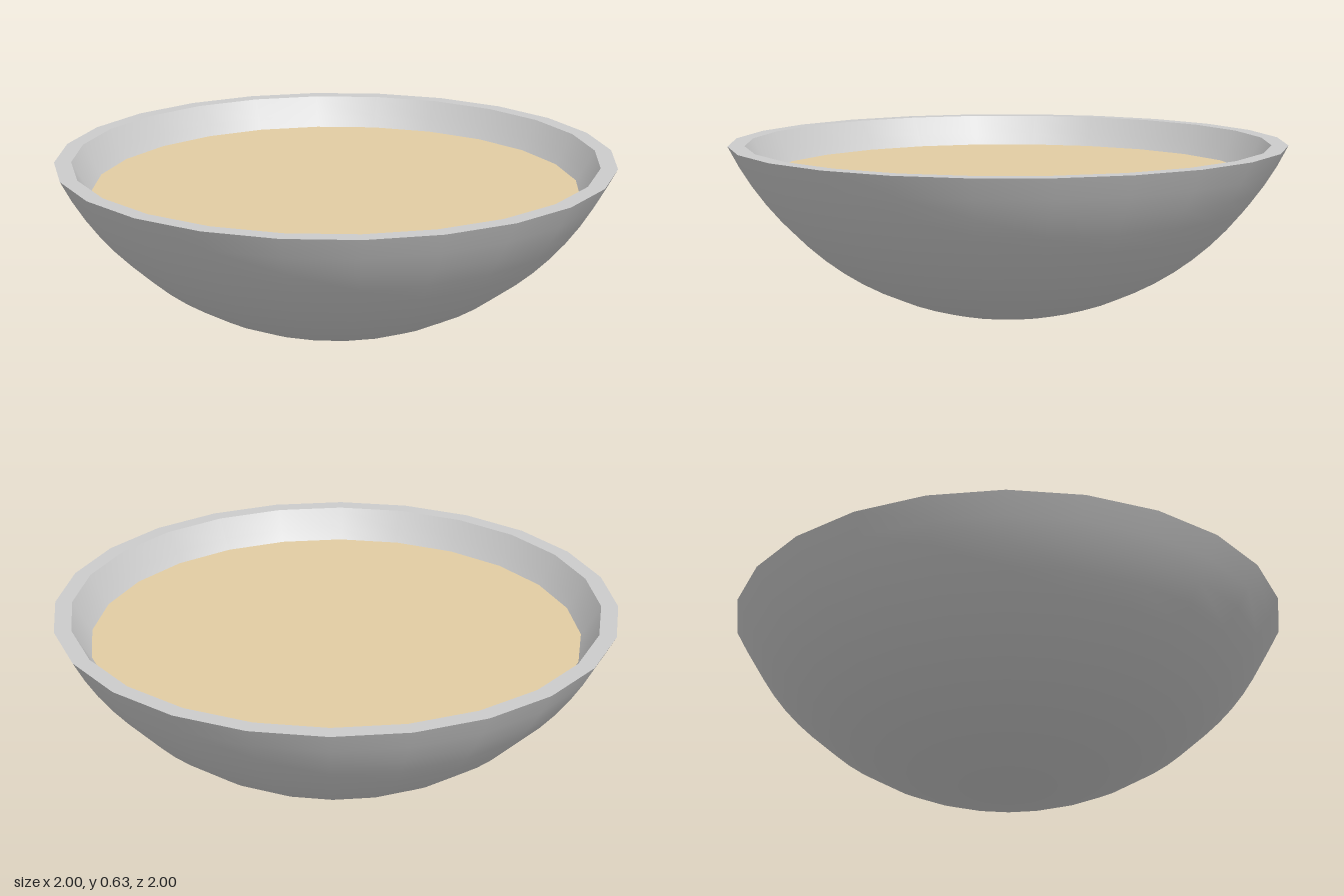
import * as THREE from 'three';

const SIDES = 24;
const HEIGHT = 0.63;
const OUTER = 1.109; // radius of the sphere the outside is cut from
const INNER = 1.055; // radius of the concentric inside sphere
const FILL_Y = 0.52;

// Sphere-cap profile from the bottom pole up to the rim.
function capProfile(radius, rings) {
  const end = Math.acos((OUTER - HEIGHT) / radius);
  return Array.from({ length: rings + 1 }, (_, i) => {
    const a = (end * i) / rings;
    return new THREE.Vector2(radius * Math.sin(a), OUTER - radius * Math.cos(a));
  });
}

export function createModel() {
  const group = new THREE.Group();
  group.name = 'filledBowl';
  const grey = new THREE.MeshStandardMaterial({ color: 0xcccccc });
  const tan = new THREE.MeshStandardMaterial({ color: 0xe2cda3 });

  const add = (name, geometry, material) => {
    const mesh = new THREE.Mesh(geometry, material);
    mesh.name = name;
    group.add(mesh);
    return mesh;
  };

  // Bowl shell: outside, flat rim and inside kept apart for sharp rim edges
  const outside = capProfile(OUTER, 15);
  const inside = capProfile(INNER, 15).reverse();
  const rim = [outside[outside.length - 1], inside[0]];
  add('bowlOutside', new THREE.LatheGeometry(outside, SIDES), grey);
  add('bowlRim', new THREE.LatheGeometry(rim, SIDES), grey);
  add('bowlInside', new THREE.LatheGeometry(inside, SIDES), grey);

  // Flat surface of the contents, meeting the inside wall
  const fillRadius = Math.sqrt(INNER ** 2 - (OUTER - FILL_Y) ** 2);
  const fill = add('contents', new THREE.CircleGeometry(fillRadius, SIDES), tan);
  fill.rotation.x = -Math.PI / 2;
  fill.position.y = FILL_Y;

  return group;
}
